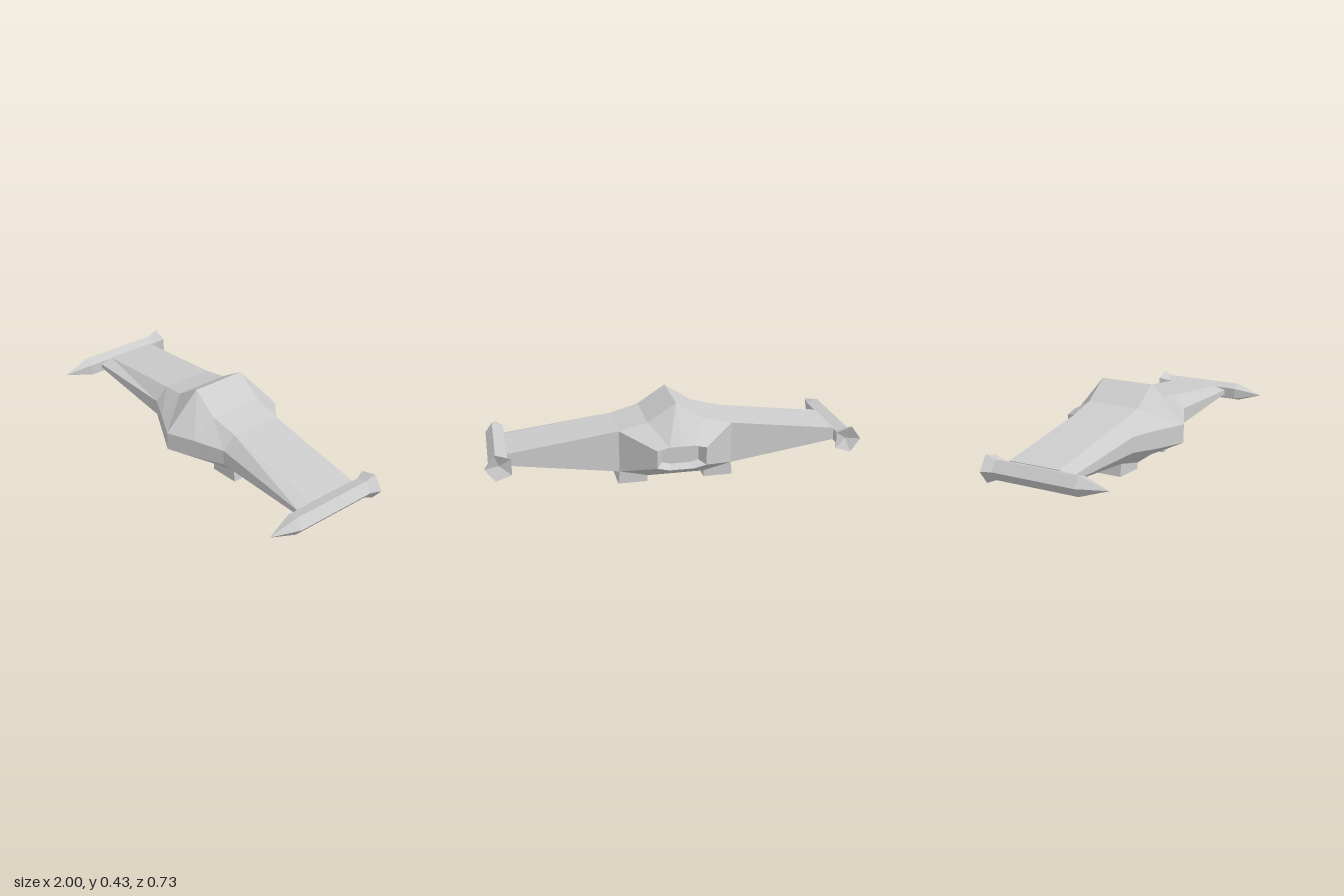
import * as THREE from 'three';

// Skin a list of equal-length rings; each ring runs counterclockwise seen from the end of the loft.
function loft(rings, capStart, capEnd) {
  const pos = [];
  const tri = (a, b, c) => {
    const n = b.clone().sub(a).cross(c.clone().sub(a));
    if (n.length() > 1e-9) for (const p of [a, b, c]) pos.push(p.x, p.y, p.z);
  };
  const centre = (ring) =>
    ring.reduce((s, p) => s.add(p), new THREE.Vector3()).divideScalar(ring.length);
  const n = rings[0].length;
  for (let j = 0; j < n; j++) {
    const k = (j + 1) % n;
    for (let i = 0; i < rings.length - 1; i++) {
      const a = rings[i], b = rings[i + 1];
      tri(a[j], a[k], b[k]);
      tri(a[j], b[k], b[j]);
    }
    const first = rings[0], last = rings[rings.length - 1];
    if (capStart) tri(first[k], first[j], centre(first));
    if (capEnd) tri(last[j], last[k], centre(last));
  }
  const geo = new THREE.BufferGeometry();
  geo.setAttribute('position', new THREE.Float32BufferAttribute(pos, 3));
  geo.computeVertexNormals();
  return geo;
}

const v = (x, y, z) => new THREE.Vector3(x, y, z);
// Mirror rings that are stacked along x
const mirrorX = (rings) => rings.map((r) => r.map((p) => v(-p.x, p.y, p.z))).reverse();

export function createModel() {
  const group = new THREE.Group();
  // The lofts are unindexed, so their computed normals are already faceted
  const hullGrey = new THREE.MeshStandardMaterial({ color: 0xcccccc });
  hullGrey.name = 'hullGrey';
  const add = (name, geo) => {
    const mesh = new THREE.Mesh(geo, hullGrey);
    mesh.name = name;
    group.add(mesh);
  };

  // Hull and wings: x, front z, front upper y, front lower y, shoulder z, top y, belly y
  const back = -0.213;
  const half = [
    [0, 0.285, 0.235, 0.133, 0.088, 0.432, 0.034],
    [0.15, 0.213, 0.235, 0.133, 0.088, 0.334, 0.034],
    [0.303, 0.142, 0.228, 0.142, 0.071, 0.297, 0.07],
    [0.883, 0.142, 0.2, 0.175, 0.071, 0.22, 0.155],
  ].map(([x, fz, fu, fl, sz, top, belly]) => [
    v(x, fu, fz), v(x, fl, fz), v(x, belly, sz),
    v(x, belly, back), v(x, top, back), v(x, top, sz),
  ]);
  add('hullAndWings', loft([...mirrorX(half.slice(1)), ...half], true, true));

  // Tapered tail with a recessed exhaust
  const tailRing = (z, pts) => pts.map(([x, y]) => v(x, y, z));
  const base = [[0.303, 0.07], [0.303, 0.297], [0.15, 0.334], [0, 0.432],
    [-0.15, 0.334], [-0.303, 0.297], [-0.303, 0.07], [-0.15, 0.034], [0.15, 0.034]];
  const rim = [[0.13, 0.135], [0.13, 0.232], [0.065, 0.247], [0, 0.247],
    [-0.065, 0.247], [-0.13, 0.232], [-0.13, 0.135], [-0.065, 0.12], [0.065, 0.12]];
  const floor = rim.map(([x, y]) => [x * 0.75, 0.184 + (y - 0.184) * 0.75]);
  add('tail', loft([tailRing(-0.315, floor), tailRing(-0.365, rim), tailRing(back, base)], true, false));

  // Landing skids under the hull
  const skid = [
    [0.153, 0.153, 0.088, 0.05],
    [0.302, 0.311, 0.071, 0.075],
  ].map(([xTop, xFoot, front, top]) => [
    v(xTop, top, front), v(xFoot, 0, front), v(xFoot, 0, back), v(xTop, top, back),
  ]);
  add('leftSkid', loft(skid, true, true));
  add('rightSkid', loft(mirrorX(skid), true, true));

  // Five-sided wingtip pods: hollow flared rear, straight body, pointed nose
  const podProfile = [[-0.275, 0], [-0.303, 0.076], [-0.25, 0.054], [0.21, 0.054], [0.363, 0]];
  for (const side of [1, -1]) {
    const rings = podProfile.map(([z, r]) =>
      Array.from({ length: 5 }, (_, i) => {
        const a = (i * Math.PI * 2) / 5 + (side > 0 ? 0 : Math.PI);
        return v(side * 0.925 + r * Math.cos(a), 0.184 + r * Math.sin(a), z);
      }));
    add(side > 0 ? 'leftWingtipPod' : 'rightWingtipPod', loft(rings, false, false));
  }
  return group;
}
